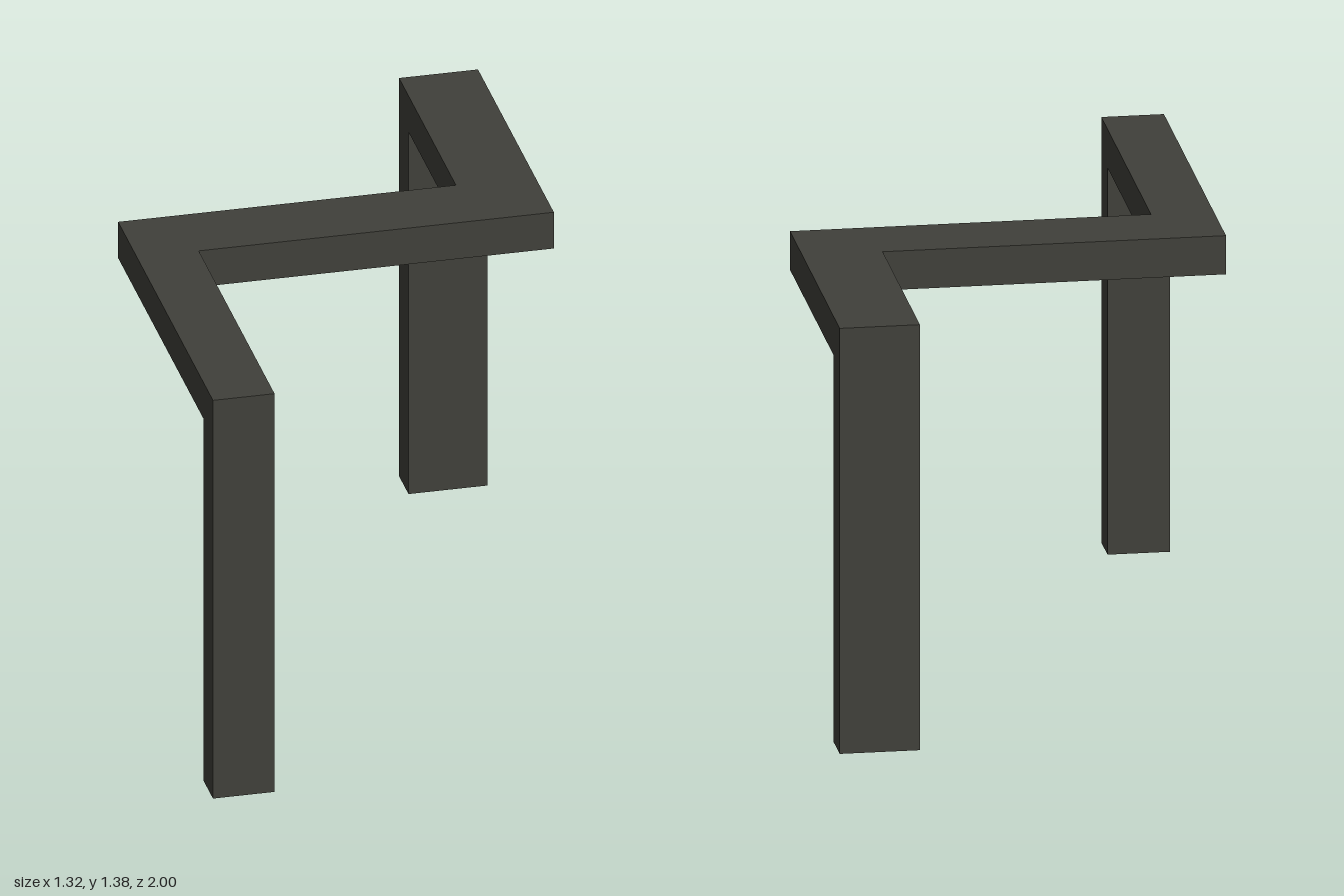
import * as THREE from 'three';

const TOP = 1.375, UNDER = 1.25, THICK = 0.125;

export function createModel() {
  const group = new THREE.Group();
  const darkMetal = new THREE.MeshStandardMaterial({ color: 0x40403a });
  darkMetal.name = 'darkGrey';

  // Zigzag top beam: plan outline as (x, z), extruded downwards
  const outline = [
    [-0.66, 1], [-0.66, -0.25], [0.41, -0.25], [0.41, -1],
    [0.66, -1], [0.66, 0], [-0.465, 0], [-0.465, 1],
  ];
  const shape = new THREE.Shape(outline.map(([x, z]) => new THREE.Vector2(x, z)));
  const beamGeometry = new THREE.ExtrudeGeometry(shape, { depth: TOP - UNDER, bevelEnabled: false });
  beamGeometry.rotateX(Math.PI / 2).translate(0, TOP, 0);
  const beam = new THREE.Mesh(beamGeometry, darkMetal);
  beam.name = 'zigzagBeam';
  group.add(beam);

  // Flat legs under the two beam ends
  const addLeg = (name, x0, x1, z) => {
    const leg = new THREE.Mesh(new THREE.BoxGeometry(x1 - x0, UNDER, THICK), darkMetal);
    leg.position.set((x0 + x1) / 2, UNDER / 2, z);
    leg.name = name;
    group.add(leg);
  };
  addLeg('frontLeg', -0.66, -0.465, 1 - THICK / 2);
  addLeg('backLeg', 0.41, 0.66, -1 + THICK / 2);

  return group;
}
